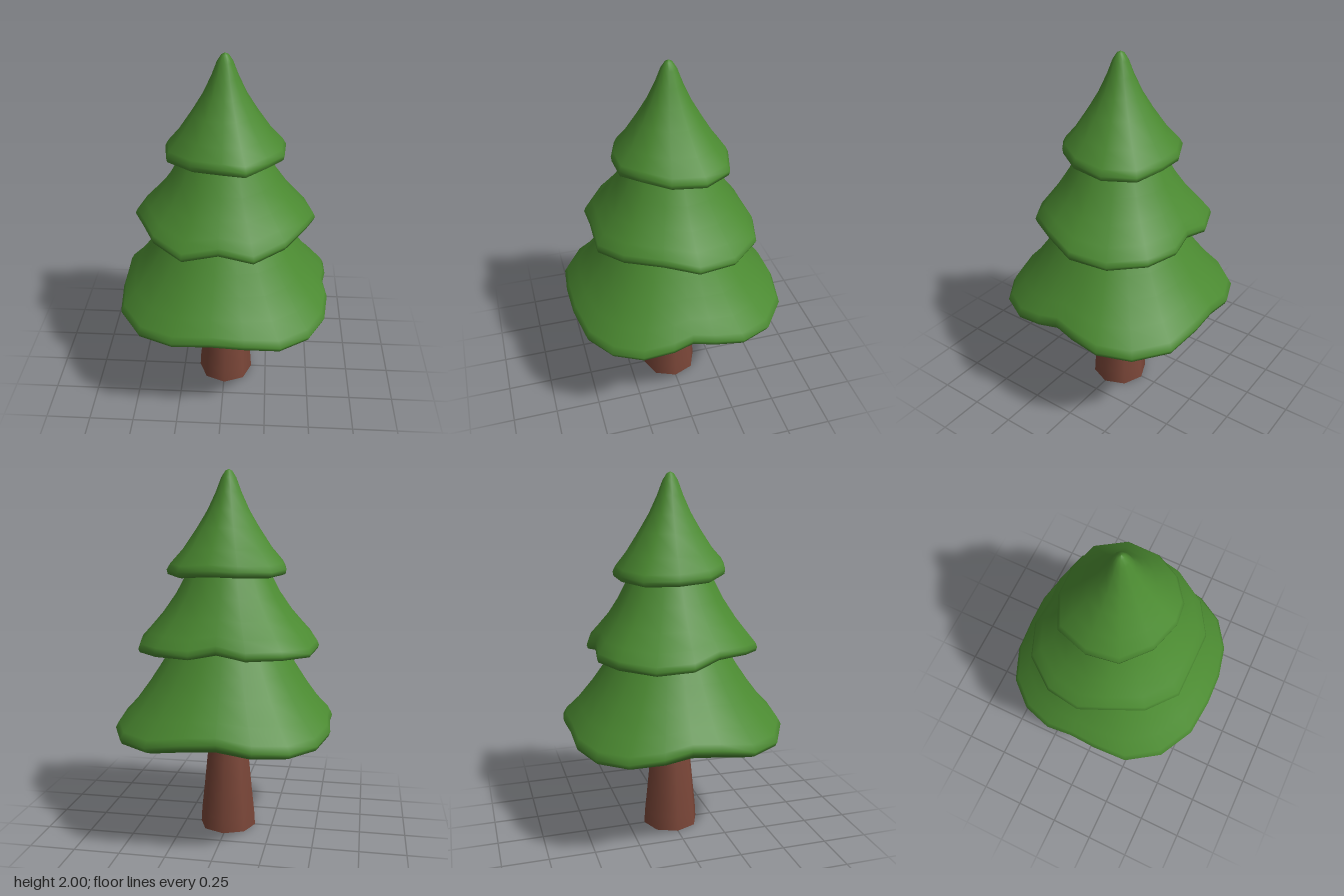
import * as THREE from 'three';

const leafGreen = new THREE.MeshStandardMaterial({ color: 0x4b8a31 });
const barkBrown = new THREE.MeshStandardMaterial({ color: 0x7a4638 });

// Skirt of foliage: rings that change from round at the top to the uneven rim.
// rim: [x, z, lower edge y] around the tree; profile: [share of rim radius, y]
function foliage(name, rim, profile) {
  const n = rim.length;
  const radii = rim.map(([x, z]) => Math.hypot(x, z));
  const meanR = radii.reduce((s, r) => s + r, 0) / n;
  const meanY = rim.reduce((s, p) => s + p[2], 0) / n;
  const pos = [], index = [];
  for (const [k, y] of profile) {
    const wave = Math.min(1, k * k * k);
    rim.forEach(([x, z, ry], j) => {
      const a = Math.atan2(z, x);
      const r = k * THREE.MathUtils.lerp(meanR, radii[j], Math.min(1, k * k));
      pos.push(Math.cos(a) * r, y + (ry - meanY) * wave, Math.sin(a) * r);
    });
  }
  for (let i = 0; i < profile.length - 1; i++) {
    for (let j = 0; j < n; j++) {
      const a = i * n + j, b = i * n + (j + 1) % n, c = a + n, d = b + n;
      if (profile[i][0] > 0) index.push(a, b, c);
      if (profile[i + 1][0] > 0) index.push(b, d, c);
    }
  }
  const geo = new THREE.BufferGeometry();
  geo.setAttribute('position', new THREE.Float32BufferAttribute(pos, 3));
  geo.setIndex(index);
  geo.computeVertexNormals();
  const mesh = new THREE.Mesh(geo, leafGreen);
  mesh.name = name;
  return mesh;
}

export function createModel() {
  const tree = new THREE.Group();
  tree.name = 'pineTree';

  // Trunk: eight-sided, tapering, flared where it meets the foliage
  const trunk = new THREE.Group();
  trunk.name = 'trunk';
  const side = [[0.158, 0], [0.153, 0.08], [0.138, 0.22], [0.12, 0.4], [0.1, 0.52],
    [0.09, 0.6], [0.105, 0.635], [0.15, 0.68]].map(([r, y]) => new THREE.Vector2(r, y));
  const bark = new THREE.Mesh(new THREE.LatheGeometry(side, 8), barkBrown);
  bark.name = 'bark';
  const base = new THREE.Mesh(new THREE.CircleGeometry(0.158, 8).rotateX(Math.PI / 2), barkBrown);
  base.name = 'trunkBase';
  trunk.add(bark, base);
  trunk.position.x = 0.004;
  tree.add(trunk);

  // Lowest tier: squarish rim with drooping corners
  tree.add(foliage('lowerFoliage', [
    [-0.58, -0.2, 0.60], [-0.525, -0.37, 0.57], [-0.4, -0.51, 0.565], [-0.22, -0.58, 0.58],
    [-0.04, -0.585, 0.615], [0.13, -0.59, 0.605], [0.33, -0.56, 0.57], [0.5, -0.43, 0.565],
    [0.58, -0.26, 0.58], [0.58, -0.1, 0.61], [0.56, 0.02, 0.63], [0.58, 0.13, 0.61],
    [0.56, 0.29, 0.575], [0.475, 0.44, 0.565], [0.32, 0.545, 0.565], [0.13, 0.585, 0.60],
    [-0.05, 0.59, 0.615], [-0.25, 0.57, 0.59], [-0.44, 0.465, 0.565], [-0.56, 0.29, 0.575],
    [-0.575, 0.1, 0.61], [-0.57, -0.05, 0.625],
  ], [[0, 1.3], [0.3, 1.25], [0.52, 1.04], [0.62, 0.94], [0.73, 0.84], [0.86, 0.735],
    [0.97, 0.665], [1, 0.63], [0.985, 0.605], [0.93, 0.587], [0.8, 0.6], [0.55, 0.64],
    [0.3, 0.665], [0, 0.67]]));

  // Middle tier
  tree.add(foliage('middleFoliage', [
    [-0.47, -0.21, 1.03], [-0.345, -0.375, 1.04], [-0.165, -0.445, 1.04], [-0.01, -0.425, 1.07],
    [0.13, -0.445, 1.04], [0.315, -0.395, 1.04], [0.45, -0.235, 1.03], [0.495, -0.03, 1.045],
    [0.44, 0.15, 1.09], [0.33, 0.33, 1.075], [0.17, 0.435, 1.045], [-0.01, 0.437, 1.09],
    [-0.2, 0.435, 1.045], [-0.36, 0.31, 1.075], [-0.445, 0.13, 1.085], [-0.5, -0.02, 1.045],
  ], [[0, 1.7], [0.28, 1.62], [0.47, 1.46], [0.6, 1.34], [0.75, 1.235], [0.89, 1.155],
    [0.98, 1.105], [1, 1.08], [0.985, 1.06], [0.93, 1.055], [0.83, 1.075], [0.7, 1.115],
    [0.4, 1.15], [0, 1.16]]));

  // Top tier with the rounded tip
  tree.add(foliage('upperFoliage', [
    [-0.265, -0.22, 1.435], [-0.1, -0.3, 1.44], [0.06, -0.305, 1.445], [0.225, -0.26, 1.43],
    [0.32, -0.11, 1.435], [0.31, 0.07, 1.45], [0.23, 0.205, 1.47], [0.12, 0.29, 1.453],
    [0, 0.305, 1.475], [-0.16, 0.255, 1.465], [-0.295, 0.13, 1.45], [-0.32, -0.045, 1.44],
  ], [[0, 2], [0.06, 1.99], [0.13, 1.955], [0.22, 1.88], [0.36, 1.785], [0.53, 1.695],
    [0.76, 1.585], [0.95, 1.515], [1, 1.485], [0.985, 1.46], [0.93, 1.452], [0.83, 1.475],
    [0.65, 1.52], [0, 1.55]]));

  return tree;
}
